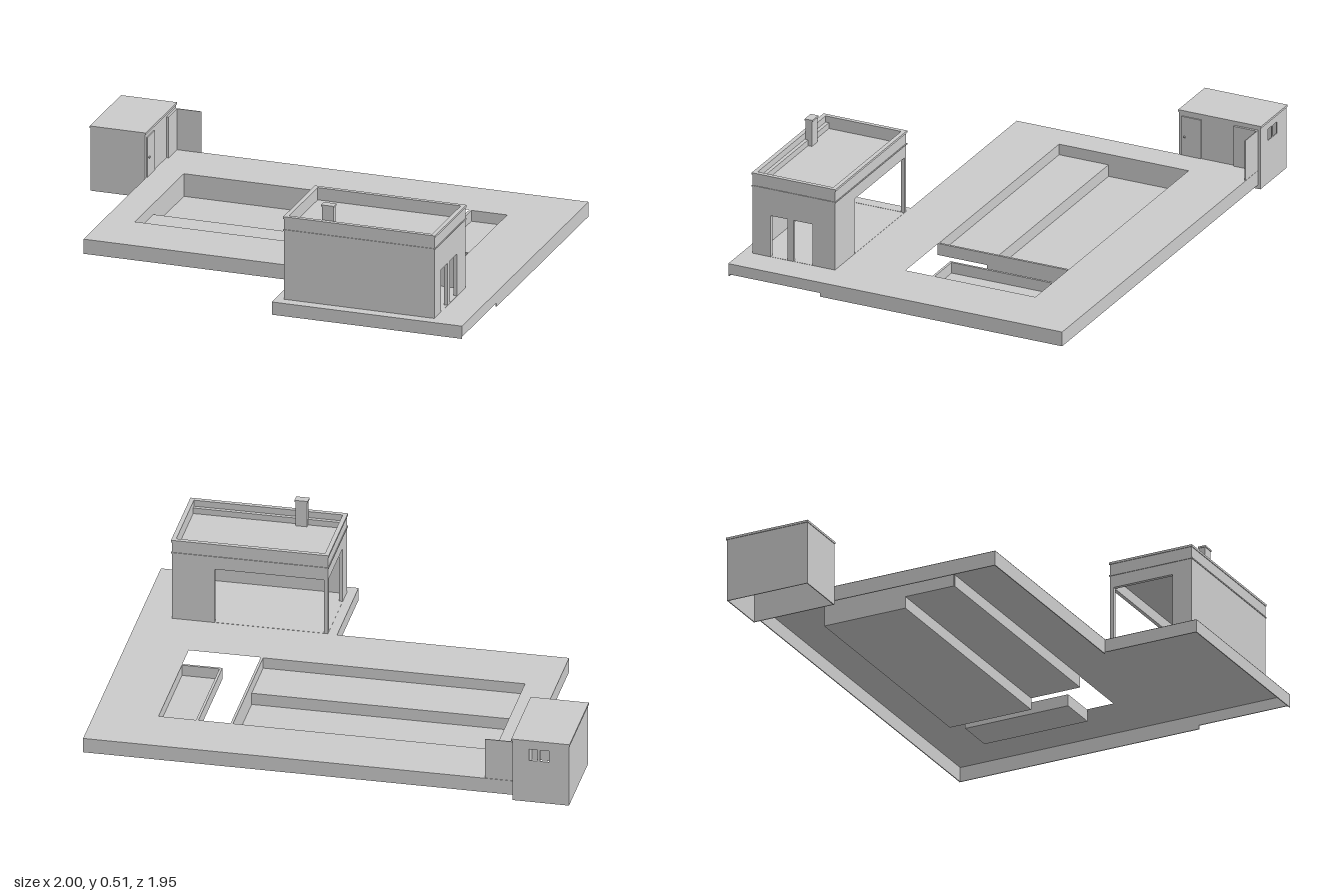
import * as THREE from 'three';

const mat = new THREE.MeshStandardMaterial({ color: 0xcccccc, flatShading: true, side: THREE.DoubleSide });
const T = 0.004; // thickness of sheet-like walls

// Box given by its extents in the plan (x, z) and height (y)
function box(parent, name, [x0, x1], [y0, y1], [z0, z1]) {
  const m = new THREE.Mesh(new THREE.BoxGeometry(x1 - x0, y1 - y0, z1 - z0), mat);
  m.position.set((x0 + x1) / 2, (y0 + y1) / 2, (z0 + z1) / 2);
  m.name = name;
  parent.add(m);
  return m;
}

function trace(path, pts) {
  pts.forEach(([x, y], i) => (i ? path.lineTo(x, y) : path.moveTo(x, y)));
  path.closePath();
  return path;
}
const rect = (a0, a1, b0, b1) => [[a0, b0], [a1, b0], [a1, b1], [a0, b1]];

// Upright wall with rectangular openings; runs along x, or along z if side is true
function wall(parent, name, [a0, a1], [y0, y1], at, thick, holes = [], side = false) {
  const s = trace(new THREE.Shape(), rect(a0, a1, y0, y1));
  holes.forEach(h => s.holes.push(trace(new THREE.Path(), rect(...h))));
  const g = new THREE.ExtrudeGeometry(s, { depth: thick, bevelEnabled: false });
  if (side) g.rotateY(-Math.PI / 2).translate(at + thick, 0, 0);
  else g.translate(0, 0, at);
  const m = new THREE.Mesh(g, mat);
  m.name = name;
  parent.add(m);
}

function group(parent, name) {
  const g = new THREE.Group();
  g.name = name;
  parent.add(g);
  return g;
}

// L-shaped terrace: a thin top with a skirt, open below
function addTerrace(site) {
  const g = group(site, 'terrace');
  const flip = pts => pts.map(([x, z]) => [x, -z]);
  const s = trace(new THREE.Shape(), flip([
    [-0.897, -0.702], [0.845, -0.702], [0.845, 0.777], [0.044, 0.777], [0.044, 0.368], [-0.897, 0.368]]));
  s.holes.push(trace(new THREE.Path(), flip(rect(-0.772, 0.592, -0.457, 0.118))));
  const top = new THREE.Mesh(new THREE.ShapeGeometry(s).rotateX(-Math.PI / 2).translate(0, 0.101, 0), mat);
  top.name = 'terraceTop';
  g.add(top);
  const main = [0.038, 0.1];
  box(g, 'backSkirt', [-0.897, 0.845], main, [-0.702, -0.702 + T]);
  box(g, 'leftSkirt', [0.845 - T, 0.845], main, [-0.702, 0.37]);
  box(g, 'rightSkirt', [-0.897, -0.897 + T], main, [-0.702, 0.368]);
  box(g, 'frontSkirt', [-0.897, 0.044], main, [0.368 - T, 0.368]);
  box(g, 'wingLeftSkirt', [0.845 - T, 0.845], [0.054, 0.1], [0.37, 0.777]);
  box(g, 'wingFrontSkirt', [0.044, 0.845], [0.046, 0.1], [0.777 - T, 0.777]);
  box(g, 'wingRightSkirt', [0.044, 0.044 + T], [0.046, 0.1], [0.368, 0.777]);
}

// Deep pool with a shallow shelf, and a small separate basin
function addPools(site) {
  const g = group(site, 'pool');
  const x = [-0.772, 0.3];
  box(g, 'deepFloor', x, [0, T], [-0.457, -0.097]);
  box(g, 'shallowFloor', x, [0.05, 0.05 + T], [-0.097, 0.118]);
  box(g, 'stepRiser', x, [0, 0.05 + T], [-0.097 - T, -0.097]);
  box(g, 'poolBackWall', x, [0, 0.1], [-0.457 - T, -0.457]);
  box(g, 'poolFrontWall', x, [0.05, 0.1], [0.118, 0.118 + T]);
  for (const [a, b] of [[-0.772 - T, -0.772], [0.29, 0.3]]) {
    box(g, 'deepEndWall', [a, b], [0, 0.1], [-0.457, -0.097]);
    box(g, 'shallowEndWall', [a, b], [0.05, 0.1], [-0.097, 0.118]);
  }
  const b = group(site, 'smallBasin');
  box(b, 'basinFloor', [0.43, 0.592], [0.05, 0.05 + T], [-0.457, 0]);
  box(b, 'basinInnerWall', [0.43, 0.44], [0.05, 0.1], [-0.457, 0]);
  box(b, 'basinFrontWall', [0.43, 0.592], [0.05, 0.1], [-0.01, 0]);
  box(b, 'basinOuterWall', [0.592, 0.592 + T], [0.05, 0.1], [-0.457, 0]);
  box(b, 'basinBackWall', [0.43, 0.592], [0.05, 0.1], [-0.457 - T, -0.457]);
}

// Pavilion with an open corner, parapet roof and chimney
function addHouse(site) {
  const g = group(site, 'house');
  const x = [0.081, 0.714], z = [0.37, 0.735], y = [0.101, 0.45], W = 0.015;
  const inner = [z[0] + W, z[1] - W];
  wall(g, 'frontWall', x, y, z[1] - W, W);
  wall(g, 'backWall', x, y, z[0], W, [[0.098, 0.54, 0.102, 0.34]]);
  wall(g, 'rightWall', inner, y, x[0], W, [[0.386, 0.65, 0.102, 0.34]], true);
  wall(g, 'leftWall', inner, y, x[1] - W, W,
    [[0.47, 0.554, 0.102, 0.28], [0.58, 0.655, 0.102, 0.28]], true);
  box(g, 'roof', [x[0] + W, x[1] - W], [0.385, 0.4], inner);
  box(g, 'roofLedge', [x[0] + W, x[1] - W], [0.4, 0.425], [0.705, 0.72]);
  // Slim bands around the roof edge
  for (const [y0, y1] of [[0.392, 0.397], [0.443, 0.452]]) {
    const e = 0.003;
    box(g, 'band', [x[0] - e, x[1] + e], [y0, y1], [z[0] - e, z[0] + W]);
    box(g, 'band', [x[0] - e, x[1] + e], [y0, y1], [z[1] - W, z[1] + e]);
    box(g, 'band', [x[0] - e, x[0] + W], [y0, y1], inner);
    box(g, 'band', [x[1] - W, x[1] + e], [y0, y1], inner);
  }
  box(g, 'chimney', [0.233, 0.281], [0.4, 0.508], [0.688, 0.716]);
  box(g, 'chimneyCap', [0.23, 0.284], [0.508, 0.515], [0.685, 0.719]);
}

// Shed beside the terrace, open below, with a door and a screen panel
function addShed(site) {
  const g = group(site, 'shed');
  const x = [-1.127, -0.897], z = [-0.712, -0.352], y = [0.02, 0.288];
  wall(g, 'shedFrontWall', x, y, z[1] - T, T);
  wall(g, 'shedBackWall', x, y, z[0], T,
    [[-1.045, -1.01, 0.205, 0.255], [-1.0, -0.965, 0.205, 0.255]]);
  wall(g, 'shedRightWall', z, y, x[0], T, [], true);
  wall(g, 'shedLeftWall', z, y, x[1] - T, T, [], true);
  box(g, 'shedRoof', [x[0] - 0.003, x[1] + 0.003], [0.286, 0.295], [z[0] - 0.004, z[1] + 0.003]);
  box(g, 'door', [x[1], x[1] + 0.005], [0.102, 0.27], [-0.45, -0.365]);
  box(g, 'doorHandle', [x[1] + 0.005, x[1] + 0.011], [0.18, 0.186], [-0.382, -0.374]);
  box(g, 'sidePanel', [x[1], x[1] + 0.01], [0.102, 0.275], [-0.7, -0.598]);
  box(g, 'screenPanel', [x[1], -0.785], [0.101, 0.275], [-0.702, -0.698]);
}

export function createModel() {
  const model = new THREE.Group();
  model.name = 'poolHouse';
  const site = group(model, 'site');
  site.rotation.y = -Math.PI / 12; // the whole plan is turned 15 degrees
  addTerrace(site);
  addPools(site);
  addHouse(site);
  addShed(site);
  return model;
}
